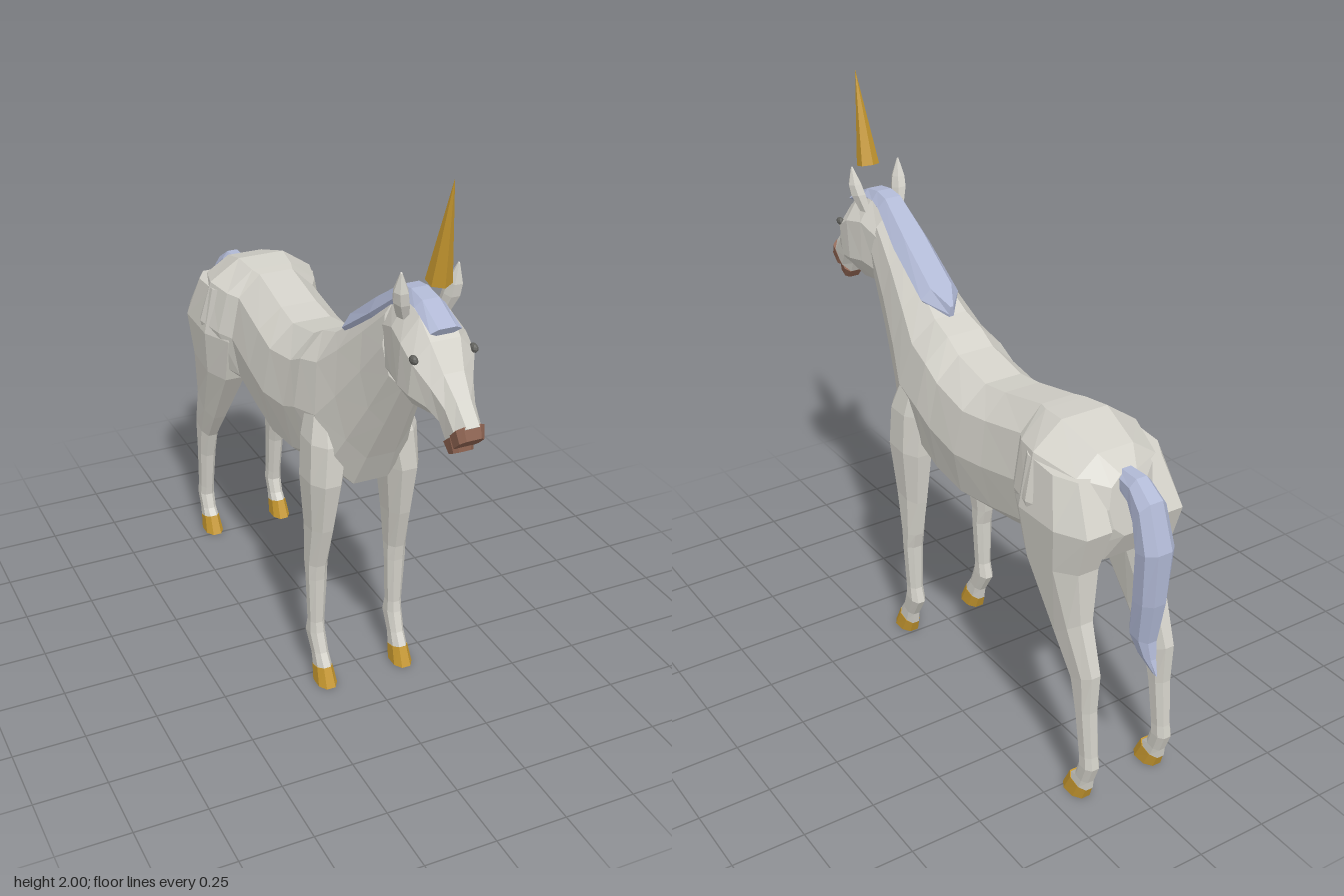
import * as THREE from 'three';

const material = (name, color) => {
  const m = new THREE.MeshStandardMaterial({ color });
  m.name = name;
  return m;
};

// Faceted loft. Each ring: [z1, y1, z2, y2, halfWidth, xCentre]
// where (z1,y1) and (z2,y2) are the two silhouette points of the section.
function loft(rings, sides, power = 0.85) {
  const round = (v) => Math.sign(v) * Math.pow(Math.abs(v), power);
  const k = round(Math.cos(Math.PI / sides));
  const points = rings.map(([z1, y1, z2, y2, w, x = 0]) =>
    Array.from({ length: sides }, (_, j) => {
      const t = ((j + 0.5) / sides) * Math.PI * 2;
      const c = round(Math.cos(t)) / k / 2;
      return [x + w * round(Math.sin(t)), (y1 + y2) / 2 + (y1 - y2) * c, (z1 + z2) / 2 + (z1 - z2) * c];
    }));
  const centre = ([z1, y1, z2, y2, , x = 0]) => [x, (y1 + y2) / 2, (z1 + z2) / 2];
  const first = centre(rings[0]);
  const last = centre(rings[rings.length - 1]);
  const out = [];
  for (let j = 0; j < sides; j++) {
    const n = (j + 1) % sides;
    out.push(first, points[0][j], points[0][n]);
    for (let i = 0; i < rings.length - 1; i++) {
      const a = points[i][j], b = points[i][n], c = points[i + 1][n], d = points[i + 1][j];
      out.push(a, d, b, b, d, c);
    }
    const end = points[rings.length - 1];
    out.push(last, end[n], end[j]);
  }
  const geometry = new THREE.BufferGeometry();
  geometry.setAttribute('position', new THREE.Float32BufferAttribute(out.flat(), 3));
  geometry.computeVertexNormals();
  return geometry;
}

const mirrorRings = (rings, side) => rings.map(([a, b, c, d, w, x]) => [a, b, c, d, w, x * side]);

export function createModel() {
  const coat = material('coat', 0xd2d0c8);
  const hair = material('hair', 0xb0b8d4);
  const gold = material('gold', 0xc4962f);
  const lip = material('muzzle brown', 0x8c6250);
  const eyeGrey = material('eye grey', 0x62625e);

  const model = new THREE.Group();
  model.name = 'hornedHorse';
  const add = (name, geometry, mat) => {
    const mesh = new THREE.Mesh(geometry, mat);
    mesh.name = name;
    model.add(mesh);
    return mesh;
  };

  // Trunk and neck, rump to throat
  add('body', loft([
    [-0.80, 1.16, -0.83, 0.96, 0.08],
    [-0.73, 1.21, -0.78, 0.86, 0.18],
    [-0.57, 1.26, -0.62, 0.80, 0.235],
    [-0.47, 1.25, -0.51, 0.785, 0.205],
    [-0.43, 1.245, -0.45, 0.775, 0.172],
    [-0.23, 1.20, -0.29, 0.745, 0.18],
    [-0.12, 1.185, -0.10, 0.72, 0.19],
    [0.05, 1.22, 0.06, 0.73, 0.185],
    [0.12, 1.26, 0.165, 0.765, 0.183],
    [0.21, 1.29, 0.35, 0.80, 0.17],
    [0.32, 1.365, 0.42, 0.93, 0.14],
    [0.45, 1.465, 0.52, 1.10, 0.11],
    [0.57, 1.555, 0.62, 1.27, 0.09],
  ], 10), coat);

  // Head, poll to nose
  add('head', loft([
    [0.55, 1.54, 0.60, 1.27, 0.085],
    [0.66, 1.585, 0.66, 1.275, 0.102],
    [0.75, 1.565, 0.72, 1.27, 0.115],
    [0.815, 1.51, 0.78, 1.28, 0.11],
    [0.87, 1.43, 0.835, 1.28, 0.075],
    [0.93, 1.37, 0.865, 1.26, 0.053],
    [0.992, 1.31, 0.885, 1.22, 0.048],
  ], 8), coat);

  // Lips
  add('upperLip', loft([
    [0.985, 1.315, 0.93, 1.26, 0.049],
    [1.0, 1.275, 0.945, 1.225, 0.043],
  ], 8, 0.6), lip);
  add('lowerLip', loft([
    [0.945, 1.27, 0.885, 1.22, 0.044],
    [0.952, 1.215, 0.905, 1.19, 0.034],
  ], 8, 0.6), lip);

  // Mane with forelock
  add('mane', loft([
    [0.20, 1.325, 0.205, 1.27, 0.01],
    [0.27, 1.375, 0.29, 1.30, 0.075],
    [0.45, 1.505, 0.48, 1.42, 0.072],
    [0.59, 1.60, 0.61, 1.53, 0.055],
    [0.65, 1.61, 0.65, 1.55, 0.05],
    [0.72, 1.60, 0.71, 1.555, 0.05],
    [0.825, 1.55, 0.81, 1.525, 0.052],
  ], 6), hair);

  // Tail, root to tip
  add('tail', loft([
    [-0.79, 1.10, -0.77, 1.17, 0.038],
    [-0.845, 1.07, -0.86, 1.17, 0.045],
    [-0.875, 1.02, -0.935, 1.12, 0.055],
    [-0.89, 0.95, -0.99, 0.97, 0.06],
    [-0.875, 0.77, -0.98, 0.78, 0.05],
    [-0.86, 0.64, -0.955, 0.63, 0.038],
    [-0.895, 0.58, -0.965, 0.57, 0.024],
    [-0.96, 0.525, -0.985, 0.52, 0.004],
  ], 8), hair);

  // Horn, hovering above the brow
  const horn = add('horn', new THREE.ConeGeometry(0.04, 0.335, 6).toNonIndexed(), gold);
  horn.geometry.computeVertexNormals();
  horn.position.set(0, 1.835, 0.798);
  horn.rotation.x = 0.21;

  // Paired parts
  const foreleg = [
    [0.29, 1.10, 0.17, 1.10, 0.05, 0.11],
    [0.35, 0.95, 0.165, 0.95, 0.075, 0.122],
    [0.36, 0.81, 0.165, 0.80, 0.063, 0.14],
    [0.325, 0.62, 0.182, 0.60, 0.044, 0.144],
    [0.282, 0.46, 0.198, 0.46, 0.037, 0.15],
    [0.275, 0.40, 0.212, 0.40, 0.036, 0.15],
    [0.268, 0.22, 0.21, 0.22, 0.028, 0.15],
    [0.275, 0.18, 0.192, 0.165, 0.03, 0.15],
    [0.30, 0.11, 0.235, 0.09, 0.027, 0.148],
    [0.33, 0.065, 0.243, 0.045, 0.029, 0.147],
  ];
  const hindLeg = [
    [-0.48, 1.17, -0.76, 1.15, 0.085, 0.12],
    [-0.455, 0.99, -0.845, 1.0, 0.105, 0.135],
    [-0.51, 0.81, -0.80, 0.85, 0.085, 0.138],
    [-0.67, 0.57, -0.81, 0.67, 0.052, 0.145],
    [-0.755, 0.45, -0.87, 0.50, 0.038, 0.146],
    [-0.79, 0.34, -0.865, 0.36, 0.033, 0.147],
    [-0.815, 0.18, -0.88, 0.19, 0.028, 0.147],
    [-0.82, 0.145, -0.888, 0.145, 0.03, 0.147],
    [-0.80, 0.09, -0.865, 0.08, 0.028, 0.147],
    [-0.775, 0.065, -0.86, 0.045, 0.03, 0.147],
  ];
  const hoof = (z) => [
    [z + 0.33, 0.067, z + 0.243, 0.045, 0.031, 0.147],
    [z + 0.362, 0, z + 0.258, 0, 0.037, 0.147],
  ];
  const ear = [
    [0.715, 1.69, 0.71, 1.695, 0.003, 0.093],
    [0.725, 1.63, 0.68, 1.635, 0.024, 0.088],
    [0.72, 1.59, 0.665, 1.60, 0.026, 0.082],
    [0.70, 1.54, 0.65, 1.54, 0.018, 0.068],
  ];
  for (const [side, label] of [[1, 'left'], [-1, 'right']]) {
    const pair = (name, rings, sides, mat) => add(label + name, loft(mirrorRings(rings, side), sides), mat);
    pair('Foreleg', foreleg, 8, coat);
    pair('HindLeg', hindLeg, 8, coat);
    pair('FrontHoof', hoof(0), 8, gold);
    pair('HindHoof', hoof(-1.1), 8, gold);
    pair('Ear', ear, 6, coat);
    const eye = add(label + 'Eye', new THREE.SphereGeometry(1, 8, 6).toNonIndexed(), eyeGrey);
    eye.geometry.computeVertexNormals();
    eye.scale.set(0.012, 0.014, 0.02);
    eye.position.set(side * 0.098, 1.462, 0.808);
  }
  return model;
}
